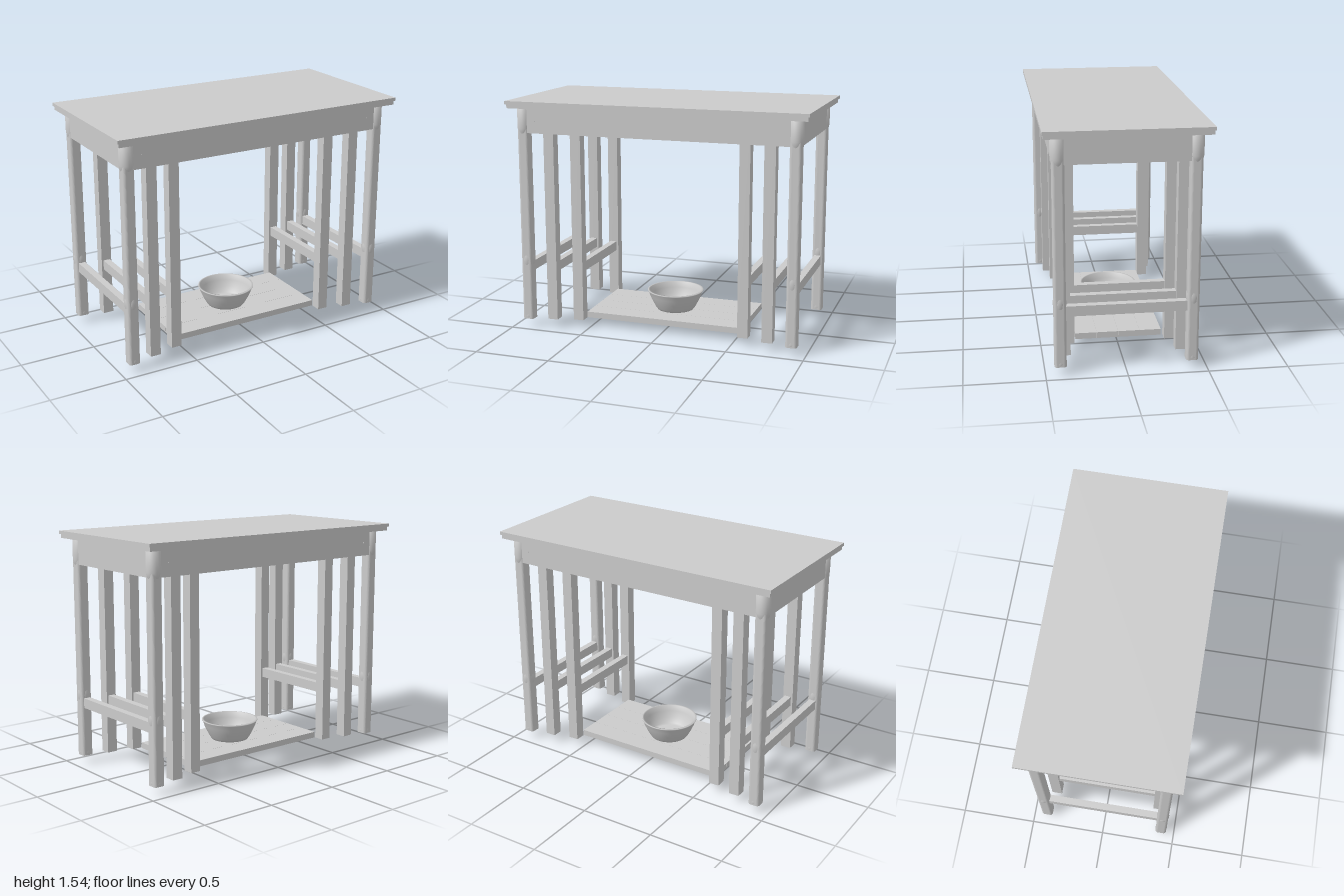
import * as THREE from 'three';

const mat = new THREE.MeshStandardMaterial({ color: 0xcccccc });
const FLOOR = 0.053, APRON = 1.325, TOP = 1.49;

export function createModel() {
  const group = new THREE.Group();

  const add = (name, geometry, x = 0, y = 0, z = 0, material = mat) => {
    const mesh = new THREE.Mesh(geometry, material);
    mesh.name = name;
    mesh.position.set(x, y, z);
    group.add(mesh);
    return mesh;
  };
  // Box given by its centre in x and z and its range in y
  const box = (name, w, y0, y1, d, x, z) =>
    add(name, new THREE.BoxGeometry(w, y1 - y0, d), x, (y0 + y1) / 2, z);
  const lathe = (pairs, segments = 40) =>
    new THREE.LatheGeometry(pairs.map(([r, y]) => new THREE.Vector2(r, y)), segments);

  // Two-layer table top
  box('tableTop', 2, 1.516, 1.537, 1.004, 0, 0);
  box('tableTopUnderlayer', 1.98, TOP, 1.516, 0.99, 0, 0);

  // Square outer leg with rounded corners, extruded upwards
  const h = 0.0375, r = 0.018, section = new THREE.Shape();
  section.absarc(h - r, h - r, r, 0, Math.PI / 2);
  section.absarc(r - h, h - r, r, Math.PI / 2, Math.PI);
  section.absarc(r - h, r - h, r, Math.PI, Math.PI * 1.5);
  section.absarc(h - r, r - h, r, Math.PI * 1.5, Math.PI * 2);
  const legGeo = new THREE.ExtrudeGeometry(section, { depth: 1.48 - FLOOR, bevelEnabled: false, curveSegments: 5 });
  legGeo.rotateX(-Math.PI / 2);

  // Turned head and the slight swellings lower on the leg
  const headGeo = lathe([[0.036, 1.315], [0.0405, 1.33], [0.046, 1.355], [0.046, 1.483], [0, 1.483]]);
  const swellGeo = lathe([[0.036, 0.425], [0.040, 0.44], [0.0415, 0.465], [0.040, 0.485], [0.036, 0.505]]);
  const footGeo = lathe([[0.037, 0.06], [0.0395, 0.07], [0.037, 0.088]]);
  const screwGeo = new THREE.CylinderGeometry(0.006, 0.006, 0.004, 12).rotateX(Math.PI / 2);

  for (const sx of [-1, 1]) {
    for (const sz of [-1, 1]) {
      const x = sx * 0.907, z = sz * 0.407;
      add('outerLeg', legGeo, x, FLOOR, z);
      add('outerLegHead', headGeo, x, 0, z);
      add('outerLegSwelling', swellGeo, x, 0, z);
      add('outerLegFoot', footGeo, x, 0, z);
      add('apronScrew', screwGeo, sx * 0.82, 1.41, sz * 0.44);
      // Legs of the two nested frames
      box('middleLeg', 0.07, FLOOR, 1.48, 0.07, sx * 0.743, sz * 0.366);
      box('innerLeg', 0.07, FLOOR, 1.48, 0.07, sx * 0.572, sz * 0.325);
    }
    // Cross rails joining front and back legs of each frame
    box('sideApron', 0.04, APRON, TOP, 0.76, sx * 0.919, 0);
    box('middleTopRail', 0.045, APRON, 1.48, 0.68, sx * 0.743, 0);
    box('innerTopRail', 0.045, APRON, 1.48, 0.6, sx * 0.572, 0);
    [[0.907, 0.75], [0.743, 0.68], [0.572, 0.6]].forEach(([x, d]) =>
      box('lowerRail', 0.045, 0.38, 0.445, d, sx * x, 0));
  }

  // Long aprons of the table and of the nested frames
  for (const sz of [-1, 1]) {
    box('longApron', 1.75, APRON, TOP, 0.034, 0, sz * 0.423);
    box('middleApron', 1.45, APRON, 1.48, 0.03, 0, sz * 0.375);
    box('innerApron', 1.1, APRON, 1.48, 0.03, 0, sz * 0.33);
  }

  // Shelf of four planks on two battens
  for (let i = 0; i < 4; i++) {
    box('shelfPlank', 1.08, 0.05, 0.09, 0.139, 0, (i - 1.5) * 0.14);
  }
  for (const sx of [-1, 1]) box('shelfBatten', 0.025, 0.032, 0.052, 0.432, sx * 0.433, 0);

  // Rolling pin under the shelf
  const pinGeo = lathe([
    [0, -0.366], [0.011, -0.362], [0.015, -0.345], [0.014, -0.3], [0.01, -0.256],
    [0.036, -0.256], [0.042, -0.25], [0.042, 0.25], [0.036, 0.256],
    [0.01, 0.256], [0.014, 0.3], [0.015, 0.345], [0.011, 0.362], [0, 0.366],
  ], 32);
  add('rollingPin', pinGeo, 0, 0.042, 0).rotation.z = Math.PI / 2;

  // Open bowl with a thin wall
  const bowlMat = mat.clone();
  bowlMat.side = THREE.DoubleSide;
  add('bowl', lathe([
    [0, 0.09], [0.125, 0.09], [0.136, 0.105], [0.158, 0.145], [0.176, 0.185], [0.185, 0.214],
    [0.19, 0.217], [0.19, 0.224], [0.177, 0.224],
    [0.166, 0.185], [0.148, 0.145], [0.126, 0.108], [0.11, 0.1], [0, 0.1],
  ], 56), 0, 0, 0, bowlMat);

  return group;
}
